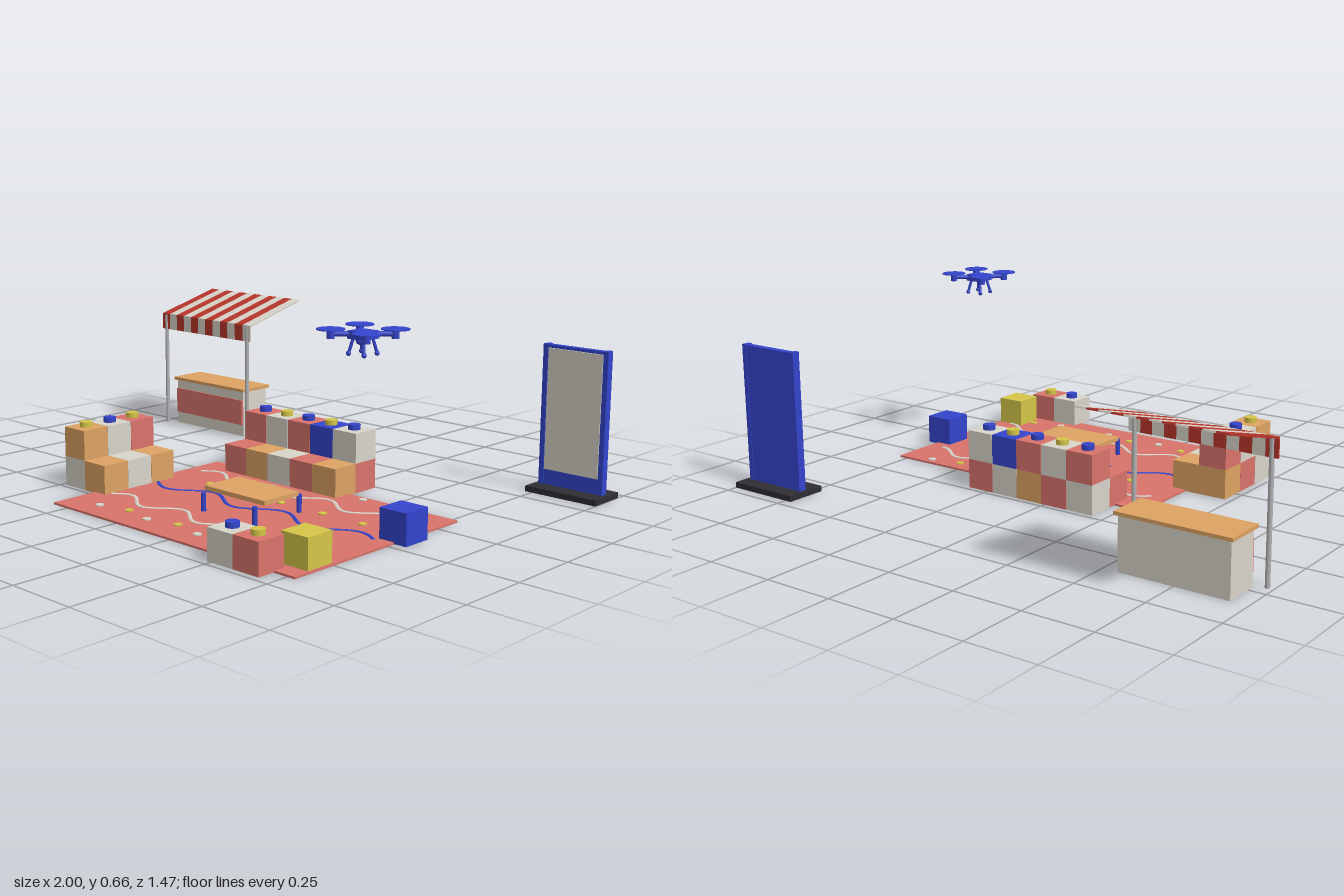
import * as THREE from 'three';

const mat = (color, side = THREE.FrontSide) => new THREE.MeshStandardMaterial({ color, side });
const RED = mat(0xd9736b), TAN = mat(0xdda262), GREY = mat(0xd8d4ca), BLUE = mat(0x3344cc);
const YELLOW = mat(0xd4c548), DARK = mat(0x2e2e33), STRIPE = mat(0xb8352a), METAL = mat(0xb4b4b4);
const CUBE = 0.105;

function add(parent, name, geometry, material, x = 0, y = 0, z = 0) {
  const mesh = new THREE.Mesh(geometry, material);
  mesh.name = name;
  mesh.position.set(x, y, z);
  parent.add(mesh);
  return mesh;
}

// Box given by its minimum and maximum corners
function box(parent, name, [x0, y0, z0], [x1, y1, z1], material) {
  return add(parent, name, new THREE.BoxGeometry(x1 - x0, y1 - y0, z1 - z0), material,
    (x0 + x1) / 2, (y0 + y1) / 2, (z0 + z1) / 2);
}

function disc(parent, name, r, h, material, x, y, z) {
  return add(parent, name, new THREE.CylinderGeometry(r, r, h, 20), material, x, y + h / 2, z);
}

// Round bar between two points
function bar(parent, name, a, b, r, material) {
  const p = new THREE.Vector3(...a), q = new THREE.Vector3(...b);
  const mesh = add(parent, name, new THREE.CylinderGeometry(r, r, p.distanceTo(q), 12), material);
  mesh.position.copy(p).lerp(q, 0.5);
  mesh.quaternion.setFromUnitVectors(new THREE.Vector3(0, 1, 0), q.sub(p).normalize());
  return mesh;
}

function group(parent, name) {
  const g = new THREE.Group();
  g.name = name;
  parent.add(g);
  return g;
}

// Seat cube, standing on its base corner, with an optional stud
function cube(parent, x, y, z, material, stud) {
  box(parent, 'seatCube', [x, y, z], [x + CUBE, y + CUBE, z + CUBE], material);
  if (stud) disc(parent, 'stud', 0.022, 0.018, stud, x + CUBE / 2, y + CUBE, z + CUBE / 2);
}

function buildRug(root) {
  const rug = group(root, 'rug');
  box(rug, 'rugBase', [-0.317, 0, -0.1], [0.78, 0.007, 0.667], RED);

  // Wavy lines
  const wave = (z, amp, period, sign, material) => {
    const points = [];
    for (let i = 0; i <= 60; i++) {
      const d = (i / 60) * 0.98;
      points.push(new THREE.Vector3(-0.26 + d, 0.007, z + sign * amp * Math.sin((d / period) * Math.PI * 2)));
    }
    const geo = new THREE.TubeGeometry(new THREE.CatmullRomCurve3(points), 120, 0.007, 6);
    geo.scale(1, 0.4, 1);
    add(rug, 'waveLine', geo, material, 0, 0.0045, 0);
  };
  wave(0.04, 0.035, 0.26, -1, GREY);
  wave(0.25, 0.038, 0.328, 1, BLUE);
  wave(0.463, 0.035, 0.26, -1, GREY);

  // Dots, alternating along the long edges
  const dot = (x, z, material) => disc(rug, 'dot', 0.014, 0.004, material, x, 0.007, z);
  for (let i = 0; i < 8; i++) {
    const x = -0.178 + i * 0.1175, odd = i % 2 === 1;
    dot(x, odd ? 0.556 : 0.583, odd ? YELLOW : GREY);
    if (i > 4) dot(x, odd ? -0.073 : -0.05, odd ? GREY : YELLOW);
  }
  for (const x of [-0.107, 0.065, 0.235, 0.42, 0.59]) dot(x, 0.144, YELLOW);
}

function buildSeats(root) {
  // Back bench: low front row, two-high back row
  const back = group(root, 'backBench');
  const front = [RED, TAN, GREY, RED, TAN];
  const lower = [GREY, RED, TAN, GREY, RED];
  const upper = [RED, GREY, RED, BLUE, GREY];
  for (let i = 0; i < 5; i++) {
    const x = -0.203 + i * 0.106;
    cube(back, x, 0.002, -0.131, front[i]);
    cube(back, x, 0.002, -0.236, lower[i]);
    cube(back, x, 0.107, -0.236, upper[i], i % 2 ? YELLOW : BLUE);
  }

  // Side bench, facing the table
  const side = group(root, 'sideBench');
  const sideFront = [TAN, GREY, TAN], sideLow = [TAN, RED, GREY], sideTop = [RED, GREY, TAN];
  for (let i = 0; i < 3; i++) {
    const z = 0.17 + i * 0.106;
    cube(side, -0.372, 0.002, z, sideFront[i]);
    cube(side, -0.477, 0.002, z, sideLow[i]);
    cube(side, -0.477, 0.107, z, sideTop[i], i % 2 ? BLUE : YELLOW);
  }

  // Short bench and loose cubes
  const short = group(root, 'shortBench');
  cube(short, 0.49, 0.002, 0.626, GREY, BLUE);
  cube(short, 0.595, 0.002, 0.626, RED, YELLOW);
  cube(root, 0.668, 0.002, 0.5, YELLOW);
  cube(root, 0.721, 0.002, 0.117, BLUE);
}

function buildTable(root) {
  const table = group(root, 'table');
  box(table, 'tableTop', [0.097, 0.07, 0.205], [0.37, 0.085, 0.365], TAN);
  for (const x of [0.116, 0.351])
    for (const z of [0.182, 0.388]) bar(table, 'tableLeg', [x, 0.004, z], [x, 0.068, z], 0.009, BLUE);
}

function buildStall(root) {
  const stall = group(root, 'marketStall');
  box(stall, 'counterBody', [-0.94, 0, -0.603], [-0.555, 0.182, -0.474], GREY);
  box(stall, 'counterPanel', [-0.938, 0.047, -0.474], [-0.557, 0.147, -0.467], RED);
  box(stall, 'counterTop', [-0.95, 0.182, -0.614], [-0.546, 0.194, -0.464], TAN);
  for (const x of [-0.978, -0.512]) bar(stall, 'post', [x, 0, -0.452], [x, 0.455, -0.452], 0.008, METAL);

  // Sloping striped awning with a hanging front edge
  const n = 12, w = 0.508 / n, rise = 0.075, run = 0.282;
  for (let i = 0; i < n; i++) {
    const x = -1 + i * w, m = i % 2 ? GREY : STRIPE;
    const strip = add(stall, 'awningStripe', new THREE.BoxGeometry(w, 0.006, Math.hypot(rise, run)), m,
      x + w / 2, 0.494, -0.595);
    strip.rotation.x = Math.atan2(rise, run);
    box(stall, 'awningEdge', [x, 0.395, -0.455], [x + w, 0.459, -0.449], m);
  }
}

function buildSign(root) {
  const sign = group(root, 'signBoard');
  box(sign, 'signBase', [0.724, 0, -0.714], [1, 0.02, -0.568], DARK);
  box(sign, 'signBody', [0.735, 0.02, -0.658], [0.985, 0.51, -0.634], BLUE);
  box(sign, 'signPanel', [0.757, 0.075, -0.634], [0.967, 0.5, -0.628], GREY);
  for (const x of [0.735, 0.967]) box(sign, 'signRail', [x, 0.02, -0.66], [x + 0.018, 0.512, -0.631], BLUE);
}

function buildDrone(root) {
  const drone = group(root, 'drone');
  drone.position.set(0.698, 0.645, 0.285);
  box(drone, 'droneBody', [-0.034, -0.012, -0.034], [0.034, 0.012, 0.034], BLUE);
  add(drone, 'cameraBall', new THREE.SphereGeometry(0.014, 16, 10), BLUE, 0, -0.016, 0.012);
  for (const sx of [-1, 1])
    for (const sz of [-1, 1]) {
      const x = sx * 0.069, z = sz * 0.067;
      bar(drone, 'arm', [0, 0.002, 0], [x, 0.002, z], 0.008, BLUE);
      disc(drone, 'motor', 0.012, 0.026, BLUE, x, -0.012, z);
      disc(drone, 'rotor', 0.044, 0.003, BLUE, x, 0.015, z);
      const foot = [sx * 0.03, -0.056, sz * 0.03];
      bar(drone, 'landingLeg', [sx * 0.02, -0.008, sz * 0.02], foot, 0.005, BLUE);
      add(drone, 'foot', new THREE.SphereGeometry(0.008, 12, 8), BLUE, ...foot);
    }
}

export function createModel() {
  const root = new THREE.Group();
  root.name = 'playLounge';
  buildRug(root);
  buildSeats(root);
  buildTable(root);
  buildStall(root);
  buildSign(root);
  buildDrone(root);
  return root;
}
